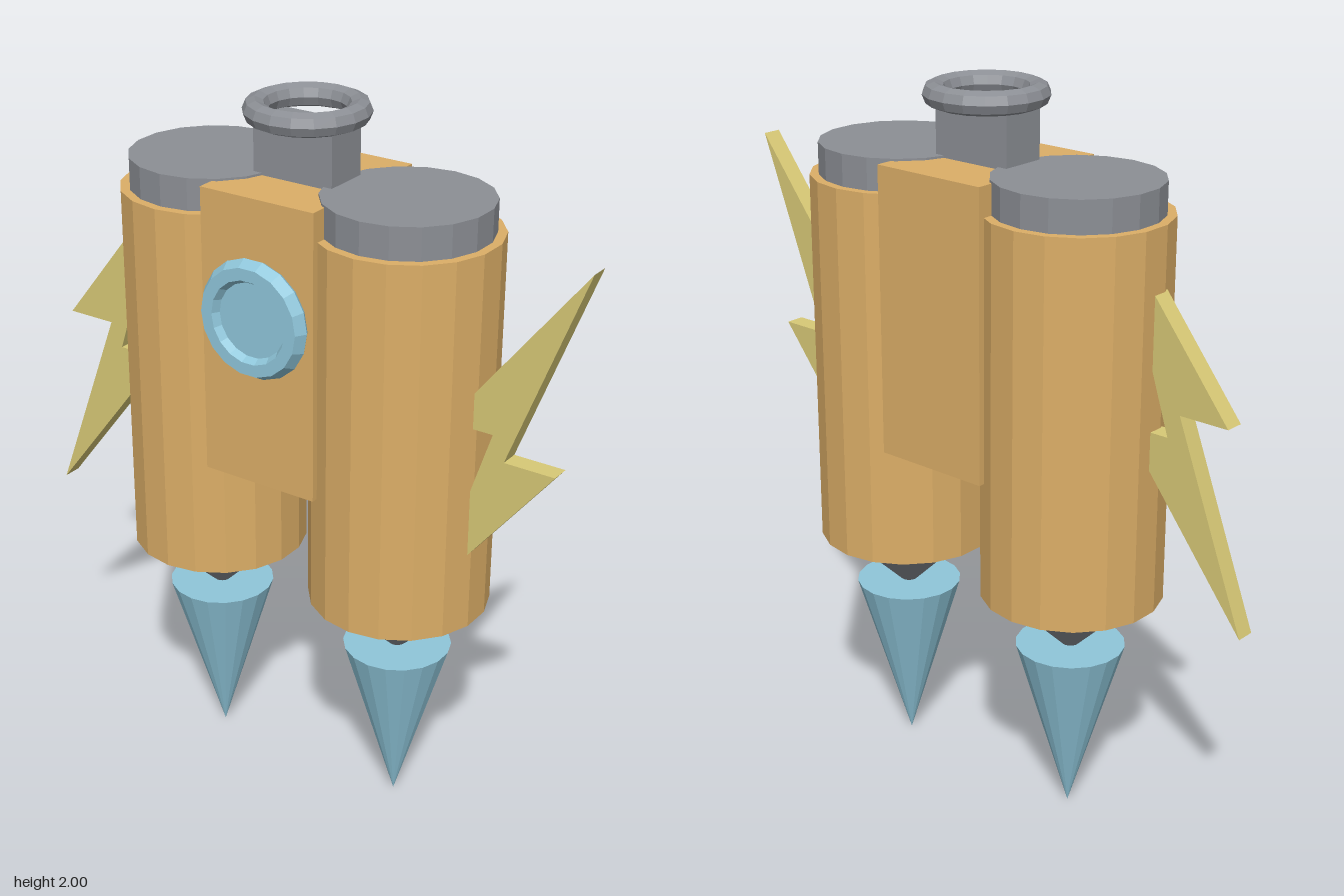
import * as THREE from 'three';

export function createModel() {
  const root = new THREE.Group();
  root.name = 'jetpack';

  const material = (name, color) => {
    const m = new THREE.MeshStandardMaterial({ color });
    m.name = name;
    m.flatShading = true;
    return m;
  };
  const orange = material('orange', 0xdcae67);
  const grey = material('grey', 0x8c8f95);
  const blue = material('light blue', 0x8fc6da);
  const yellow = material('yellow', 0xd8c976);

  const add = (name, geometry, mat, x, y, z, parent = root) => {
    const mesh = new THREE.Mesh(geometry, mat);
    mesh.name = name;
    mesh.position.set(x, y, z);
    parent.add(mesh);
    return mesh;
  };

  const SIDES = 18;
  const Z = -0.01; // depth of the tank axes
  // Upright cylinder or cone between two heights
  const column = (name, rTop, rBottom, y0, y1, mat, parent) =>
    add(name, new THREE.CylinderGeometry(rTop, rBottom, y1 - y0, SIDES), mat, 0, (y0 + y1) / 2, 0, parent);

  // Twin tanks, each with a cap, nozzle and flame
  for (const side of [-1, 1]) {
    const tank = new THREE.Group();
    tank.name = side > 0 ? 'leftTank' : 'rightTank';
    tank.position.set(side * 0.303, 0, Z);
    root.add(tank);
    column('tankBody', 0.248, 0.248, 0.662, 1.715, orange, tank);
    column('tankCap', 0.223, 0.223, 1.68, 1.802, grey, tank);
    column('nozzle', 0.188, 0, 0.48, 0.664, grey, tank);
    column('flame', 0.15, 0, 0, 0.503, blue, tank);
  }

  // Centre block with the handle post
  add('centreBlock', new THREE.BoxGeometry(0.345, 0.793, 0.45), orange, 0, 1.3995, Z);
  add('handlePost', new THREE.BoxGeometry(0.24, 0.17, 0.13), grey, 0, 1.855, -0.007);

  // Handle ring lying flat on the post
  const ring = new THREE.TorusGeometry(0.134, 0.032, 8, SIDES);
  ring.rotateX(Math.PI / 2).rotateY(Math.PI / 2);
  add('handleRing', ring, grey, 0, 1.968, Z);

  // Round porthole on the front
  add('portholeRim', new THREE.TorusGeometry(0.13, 0.033, 6, SIDES), blue, 0, 1.48, 0.228);
  const glass = new THREE.CylinderGeometry(0.12, 0.12, 0.025, SIDES);
  glass.rotateX(Math.PI / 2);
  add('portholeGlass', glass, blue, 0, 1.48, 0.224);

  // Lightning-bolt fins; the second is the first turned half way round
  const boltShape = new THREE.Shape([
    [0.845, 1.735], [0.465, 1.25], [0.6, 1.25], [0.44, 0.755], [0.78, 1.182], [0.635, 1.182],
  ].map(([x, y]) => new THREE.Vector2(x, y - 1.217)));
  const bolt = new THREE.ExtrudeGeometry(boltShape, { depth: 0.054, bevelEnabled: false });
  bolt.translate(0, 0, -0.027);
  add('leftBoltFin', bolt, yellow, 0, 1.217, 0.018);
  add('rightBoltFin', bolt, yellow, 0, 1.217, 0.018).rotation.z = Math.PI;

  return root;
}
